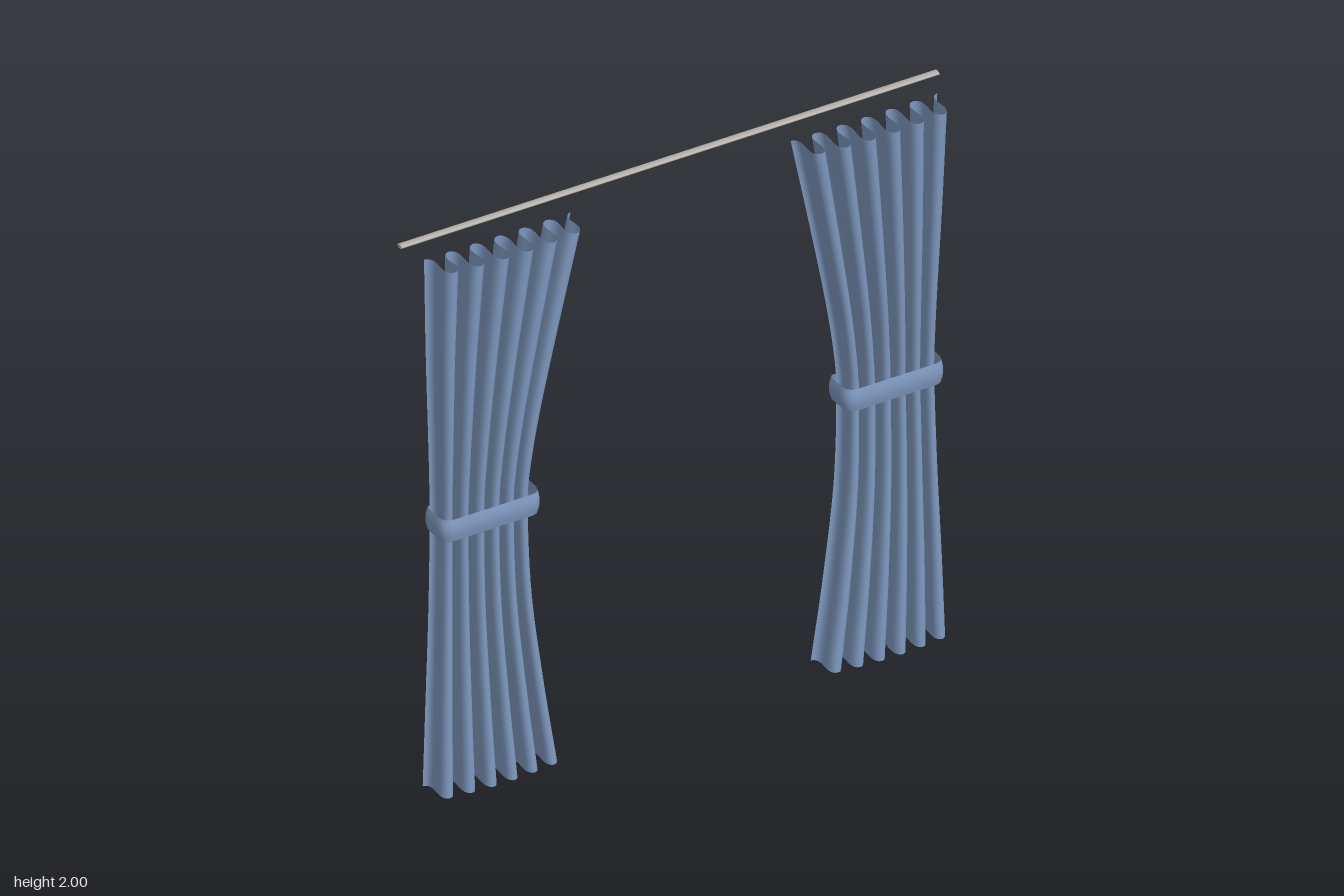
import * as THREE from 'three';

const FOLDS = 6, COLS = 144, ROWS = 40;

// Height, outer x, inner x, back z, front z of the gathered cloth
const PROFILE = [
  [0.005, 0.938, 0.48, -0.03, 0.088],
  [0.3, 0.928, 0.525, -0.031, 0.078],
  [0.65, 0.915, 0.567, -0.034, 0.064],
  [0.99, 0.908, 0.578, -0.037, 0.055],
  [1.1, 0.91, 0.57, -0.036, 0.057],
  [1.3, 0.916, 0.54, -0.034, 0.067],
  [1.6, 0.928, 0.48, -0.028, 0.084],
  [1.97, 0.938, 0.402, -0.022, 0.107],
];

// Smooth interpolation of one profile column at a height
function sample(y, k) {
  let i = 0;
  while (i < PROFILE.length - 2 && y > PROFILE[i + 1][0]) i++;
  const slope = (j) => {
    const a = PROFILE[Math.max(j - 1, 0)], b = PROFILE[Math.min(j + 1, PROFILE.length - 1)];
    return (b[k] - a[k]) / (b[0] - a[0]);
  };
  const a = PROFILE[i], b = PROFILE[i + 1], h = b[0] - a[0], t = (y - a[0]) / h;
  const t2 = t * t, t3 = t2 * t;
  return (2 * t3 - 3 * t2 + 1) * a[k] + (t3 - 2 * t2 + t) * h * slope(i)
    + (3 * t2 - 2 * t3) * b[k] + (t3 - t2) * h * slope(i + 1);
}

// Smooth surface through a grid of points
function gridSurface(cols, rows, pointAt) {
  const pos = [], index = [];
  for (let r = 0; r <= rows; r++)
    for (let c = 0; c <= cols; c++) pos.push(...pointAt(c / cols, r / rows));
  for (let r = 0; r < rows; r++)
    for (let c = 0; c < cols; c++) {
      const a = r * (cols + 1) + c, d = a + cols + 1;
      index.push(a, a + 1, d + 1, a, d + 1, d);
    }
  const g = new THREE.BufferGeometry();
  g.setAttribute('position', new THREE.Float32BufferAttribute(pos, 3));
  g.setIndex(index);
  g.computeVertexNormals();
  return g;
}

// Pleated cloth: looped folds squeezed at the waist
function curtainGeometry(side) {
  return gridSurface(COLS, ROWS, (u, v) => {
    const y = 0.005 + 1.965 * v;
    const outer = sample(y, 1), inner = sample(y, 2), back = sample(y, 3), front = sample(y, 4);
    const p = u * FOLDS * Math.PI * 2;
    const loop = 0.115 * (outer - inner) / FOLDS * Math.sin(2 * p);
    const x = outer + (inner - outer) * u - loop;
    // the deepest folds are in the middle of the cloth
    const depth = 0.84 + 0.16 * Math.sin(Math.PI * u);
    const z = back + (front - back) * depth * (0.5 - 0.5 * Math.cos(p));
    return [side * x, y, z];
  });
}

// Tieback: rounded band wrapped round the waist, slightly bulging
function tiebackGeometry(side) {
  const s = new THREE.Shape();
  const x0 = 0.56, x1 = 0.915, z0 = -0.048, z1 = 0.064, rf = 0.04, rb = 0.015;
  s.moveTo(x0 + rb, z0);
  s.lineTo(x1 - rb, z0);
  s.quadraticCurveTo(x1, z0, x1, z0 + rb);
  s.lineTo(x1, z1 - rf);
  s.quadraticCurveTo(x1, z1, x1 - rf, z1);
  s.lineTo(x0 + rf, z1);
  s.quadraticCurveTo(x0, z1, x0, z1 - rf);
  s.lineTo(x0, z0 + rb);
  s.quadraticCurveTo(x0, z0, x0 + rb, z0);
  const ring = s.getSpacedPoints(96);
  const cx = (x0 + x1) / 2, cz = (z0 + z1) / 2;
  return gridSurface(96, 8, (u, v) => {
    const q = ring[Math.round(u * 96)];
    const bulge = 0.006 * Math.sin(Math.PI * v);
    const x = cx + (q.x - cx) * (1 + bulge / 0.178);
    const z = cz + (q.y - cz) * (1 + bulge / 0.056);
    return [side * x, 0.95 + 0.08 * v, z];
  });
}

export function createModel() {
  const model = new THREE.Group();
  model.name = 'curtains';
  const cloth = new THREE.MeshStandardMaterial({ color: 0x7f99c0, side: THREE.DoubleSide });
  cloth.name = 'blue cloth';
  const metal = new THREE.MeshStandardMaterial({ color: 0xb0aca8 });
  metal.name = 'grey metal';

  const add = (name, geometry, material) => {
    const mesh = new THREE.Mesh(geometry, material);
    mesh.name = name;
    model.add(mesh);
  };

  for (const [label, side] of [['left', 1], ['right', -1]]) {
    add(label + 'Curtain', curtainGeometry(side), cloth);
    add(label + 'Tieback', tiebackGeometry(side), cloth);
  }

  // Flattened rod behind the cloth
  const rod = new THREE.CylinderGeometry(1, 1, 1.966, 24);
  rod.rotateZ(Math.PI / 2).scale(1, 0.007, 0.0135).translate(0, 1.993, -0.097);
  rod.computeVertexNormals();
  add('curtainRod', rod, metal);
  return model;
}
